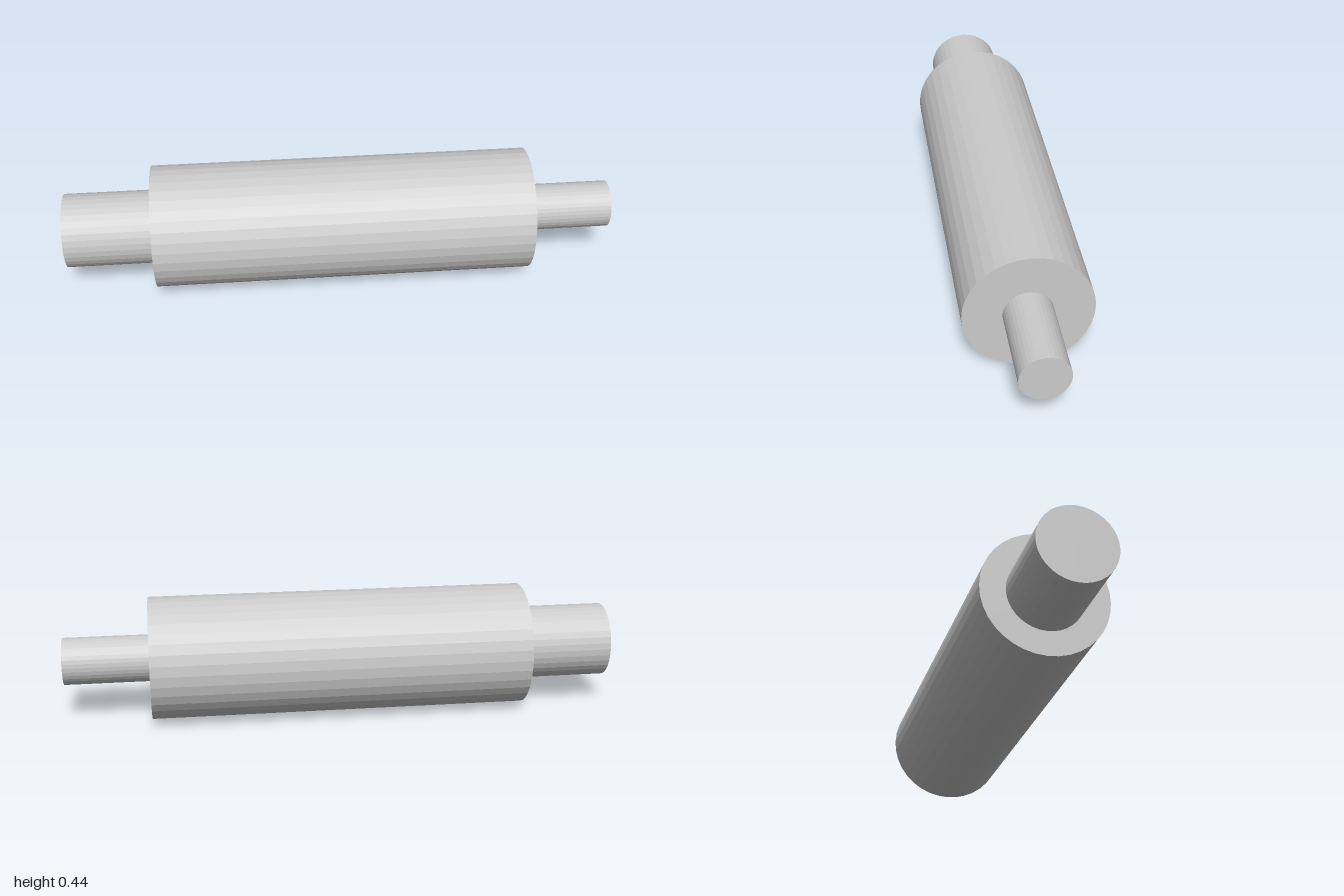
import * as THREE from 'three';

const AXIS_Y = 0.224;
const SIDES = 36;

// Solid cylinder lying along x, from x0 to x1
function rod(name, x0, x1, radius, z, material) {
  const geometry = new THREE.CylinderGeometry(radius, radius, x1 - x0, SIDES);
  geometry.rotateZ(-Math.PI / 2);
  const mesh = new THREE.Mesh(geometry, material);
  mesh.name = name;
  mesh.position.set((x0 + x1) / 2, AXIS_Y, z);
  return mesh;
}

export function createModel() {
  const group = new THREE.Group();
  group.name = 'roller';
  const material = new THREE.MeshStandardMaterial({ color: 0xcccccc, flatShading: true });

  group.add(
    rod('rollerBody', -0.68, 0.69, 0.222, 0, material),
    // Thick journal on one end, thin one on the other
    rod('thickShaft', -1, -0.68, 0.134, 0, material),
    rod('thinShaft', 0.69, 1, 0.085, 0.002, material),
  );
  return group;
}
